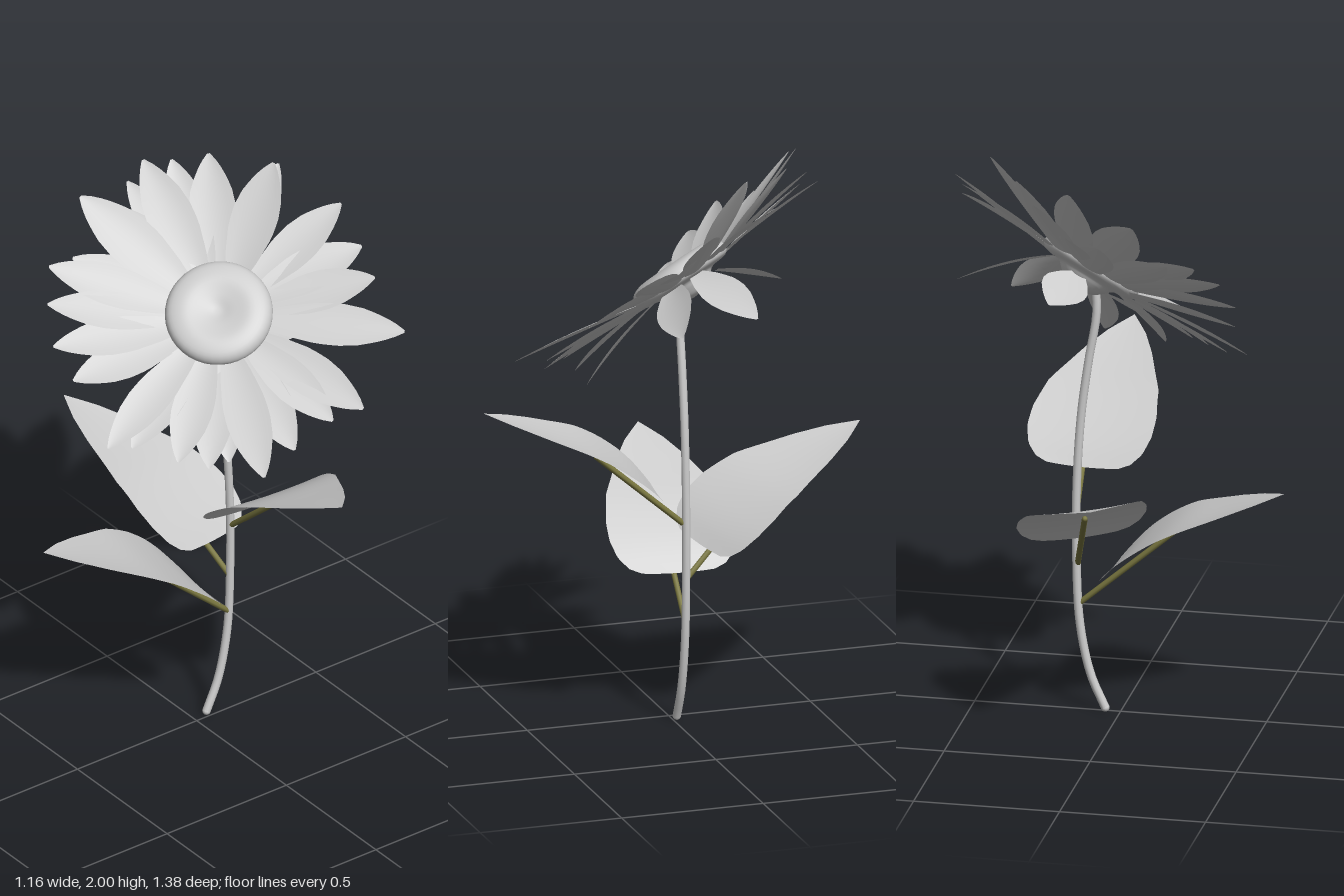
import * as THREE from 'three';

const V = (x, y, z) => new THREE.Vector3(x, y, z);

// Blade: a curved centre line with a half width and cupping across it
function bladeGeometry(curve, side, up, halfWidth, cup, rows, cols) {
  const pos = [], index = [];
  for (let i = 0; i <= rows; i++) {
    const t = i / rows, c = curve.getPoint(t), w = halfWidth(t);
    for (let j = 0; j <= cols; j++) {
      const s = (j / cols) * 2 - 1;
      const p = c.clone().addScaledVector(side, s * w).addScaledVector(up, cup * w * s * s);
      pos.push(p.x, p.y, p.z);
      if (i < rows && j < cols) {
        const a = i * (cols + 1) + j, b = a + cols + 1;
        index.push(a, a + 1, b, b, a + 1, b + 1);
      }
    }
  }
  const g = new THREE.BufferGeometry();
  g.setAttribute('position', new THREE.Float32BufferAttribute(pos, 3));
  g.setIndex(index);
  g.computeVertexNormals();
  return g;
}

// Linear lookup in a short list of [t, value] pairs
function lookup(pairs, t) {
  for (let i = 1; i < pairs.length; i++) {
    const [t0, v0] = pairs[i - 1], [t1, v1] = pairs[i];
    if (t <= t1) return v0 + (v1 - v0) * (t - t0) / (t1 - t0);
  }
  return pairs[pairs.length - 1][1];
}

export function createModel() {
  const root = new THREE.Group();
  const paleGrey = new THREE.MeshStandardMaterial({ color: 0xcccccc });
  const bladeGrey = new THREE.MeshStandardMaterial({ color: 0xcccccc, side: THREE.DoubleSide });
  const olive = new THREE.MeshStandardMaterial({ color: 0x7a7740 });

  const add = (parent, name, geometry, material) => {
    const m = new THREE.Mesh(geometry, material);
    m.name = name;
    parent.add(m);
    return m;
  };

  // Stem with rounded lower end
  const stemPath = new THREE.CatmullRomCurve3([
    V(0.05, 0.014, -0.012), V(0.1, 0.13, -0.012), V(0.137, 0.31, -0.012), V(0.149, 0.55, -0.012),
    V(0.148, 0.8, -0.012), V(0.133, 1.05, -0.012), V(0.107, 1.25, -0.012), V(0.08, 1.42, -0.012), V(0.085, 1.54, -0.012)]);
  add(root, 'stem', new THREE.TubeGeometry(stemPath, 40, 0.0145, 10), paleGrey);
  add(root, 'stemEnd', new THREE.SphereGeometry(0.0145, 10, 8), paleGrey).position.set(0.05, 0.0145, -0.012);

  // Leaves: base, tip, sideways roll, petiole start and end
  const leafWidth = [[0, 0.125], [0.04, 0.165], [0.14, 0.2], [0.3, 0.218], [0.45, 0.217],
    [0.63, 0.192], [0.82, 0.122], [0.92, 0.065], [1, 0]];
  const leaves = [
    { name: 'rightLeaf', base: V(0.03, 0.51, -0.025), tip: V(-0.58, 0.85, -0.085), roll: 0, from: V(0.14, 0.38, -0.01), to: V(-0.2, 0.675, -0.03) },
    { name: 'backLeaf', base: V(0.125, 0.635, -0.07), tip: V(-0.04, 0.96, -0.69), roll: 0.12, from: V(0.145, 0.52, -0.01), to: V(0.06, 0.79, -0.3) },
    { name: 'frontLeaf', base: V(0.15, 0.83, 0.085), tip: V(0.095, 1.165, 0.685), roll: 0, from: V(0.148, 0.725, 0), to: V(0.165, 0.995, 0.31) },
  ];
  for (const l of leaves) {
    const group = new THREE.Group();
    group.name = l.name;
    root.add(group);
    const run = l.tip.clone().sub(l.base), rise = run.y;
    run.y = 0;
    const along = (d, h) => l.base.clone().addScaledVector(run, d).add(V(0, rise * h, 0));
    const curve = new THREE.CatmullRomCurve3([along(0, 0), along(0.09, 0.18), along(0.2, 0.35),
      along(0.38, 0.56), along(0.65, 0.76), along(1, 1)]);
    const side = V(run.z, 0, -run.x).normalize();
    side.y = l.roll;
    add(group, 'leafBlade', bladeGeometry(curve, side, V(0, 1, 0),
      t => lookup(leafWidth, t), 0.05, 24, 8), bladeGrey);
    add(group, 'petiole', new THREE.TubeGeometry(new THREE.LineCurve3(l.from, l.to), 1, 0.01, 8), olive);
    add(group, 'petioleEnd', new THREE.SphereGeometry(0.01, 8, 6), olive).position.copy(l.to);
  }

  // Flower head, facing up, forward and to its right
  const head = new THREE.Group();
  head.name = 'flowerHead';
  root.add(head);
  const centre = V(0.103, 1.575, -0.012);
  const normal = V(-0.44, 0.78, 0.44).normalize();

  // Cushioned disc with a dimple, closed by a small dome underneath
  const discProfile = new THREE.SplineCurve([[0, -0.078], [0.05, -0.07], [0.085, -0.045], [0.11, -0.024], [0.165, -0.016],
    [0.182, 0.01], [0.165, 0.042], [0.115, 0.056], [0.06, 0.046], [0.02, 0.034], [0, 0.032]].map(p => new THREE.Vector2(...p)));
  const points = discProfile.getPoints(40);
  points.forEach(p => { p.x = Math.max(0, p.x); });
  const disc = add(head, 'disc', new THREE.LatheGeometry(points, 40), paleGrey);
  disc.position.copy(centre);
  disc.quaternion.setFromUnitVectors(V(0, 1, 0), normal);

  // Petals, then sepals: tip x, y, z and half width
  const petalWidth = [[0, 0.35], [0.2, 0.72], [0.4, 0.97], [0.55, 1], [0.7, 0.87], [0.85, 0.56], [0.95, 0.26], [1, 0.06]];
  const petals = [
    [0.085, 1.86, -0.5, 0.06], [0.09, 1.985, -0.42, 0.08], [0.21, 1.94, -0.42, 0.07], [0.29, 1.985, -0.32, 0.08],
    [0.5, 1.92, -0.21, 0.065], [0.535, 1.55, -0.135, 0.07], [0.42, 1.995, -0.13, 0.08], [0.575, 1.86, 0.04, 0.072],
    [0.575, 1.75, 0.155, 0.077], [0.54, 1.7, 0.275, 0.072], [0.53, 1.58, 0.455, 0.075], [0.3, 1.4, 0.53, 0.077],
    [0.21, 1.36, 0.48, 0.07], [0.065, 1.29, 0.46, 0.077], [-0.1, 1.27, 0.51, 0.075], [-0.18, 1.235, 0.31, 0.072],
    [-0.25, 1.245, 0.23, 0.07], [-0.345, 1.27, 0.1, 0.07], [-0.42, 1.28, 0.065, 0.067], [-0.42, 1.45, -0.13, 0.072],
    [-0.44, 1.55, -0.215, 0.067], [-0.4, 1.66, -0.3, 0.067], [-0.33, 1.74, -0.385, 0.072], [-0.235, 1.74, -0.38, 0.07],
    [-0.135, 1.9, -0.47, 0.085], [-0.02, 1.82, -0.47, 0.075], [0.39, 1.46, 0.08, 0.075],
    [0.125, 1.24, 0.33, 0.065], [-0.09, 1.22, 0.3, 0.065],
  ];
  const sepals = [[0.175, 1.56, -0.34, 0.08], [-0.13, 1.46, -0.13, 0.065]];
  const addPetal = (name, [x, y, z, w], layer) => {
    const tip = V(x, y, z);
    const out = tip.clone().sub(centre);
    const lift = out.dot(normal);
    out.addScaledVector(normal, -lift);
    const reach = out.length();
    out.normalize();
    const start = Math.min(0.12, reach * 0.4);
    const base = centre.clone().addScaledVector(out, start).addScaledVector(normal, layer);
    const middle = centre.clone().addScaledVector(out, start + (reach - start) * 0.55)
      .addScaledVector(normal, layer + lift * 0.45 + 0.015);
    const curve = new THREE.QuadraticBezierCurve3(base, middle, tip);
    const side = new THREE.Vector3().crossVectors(out, normal).normalize();
    add(head, name, bladeGeometry(curve, side, normal, t => w * lookup(petalWidth, t), 0.13, 16, 6), bladeGrey);
  };
  petals.forEach((p, i) => addPetal('petal', p, -0.01 - 0.01 * (i % 2)));
  sepals.forEach(p => addPetal('sepal', p, -0.045));

  return root;
}
